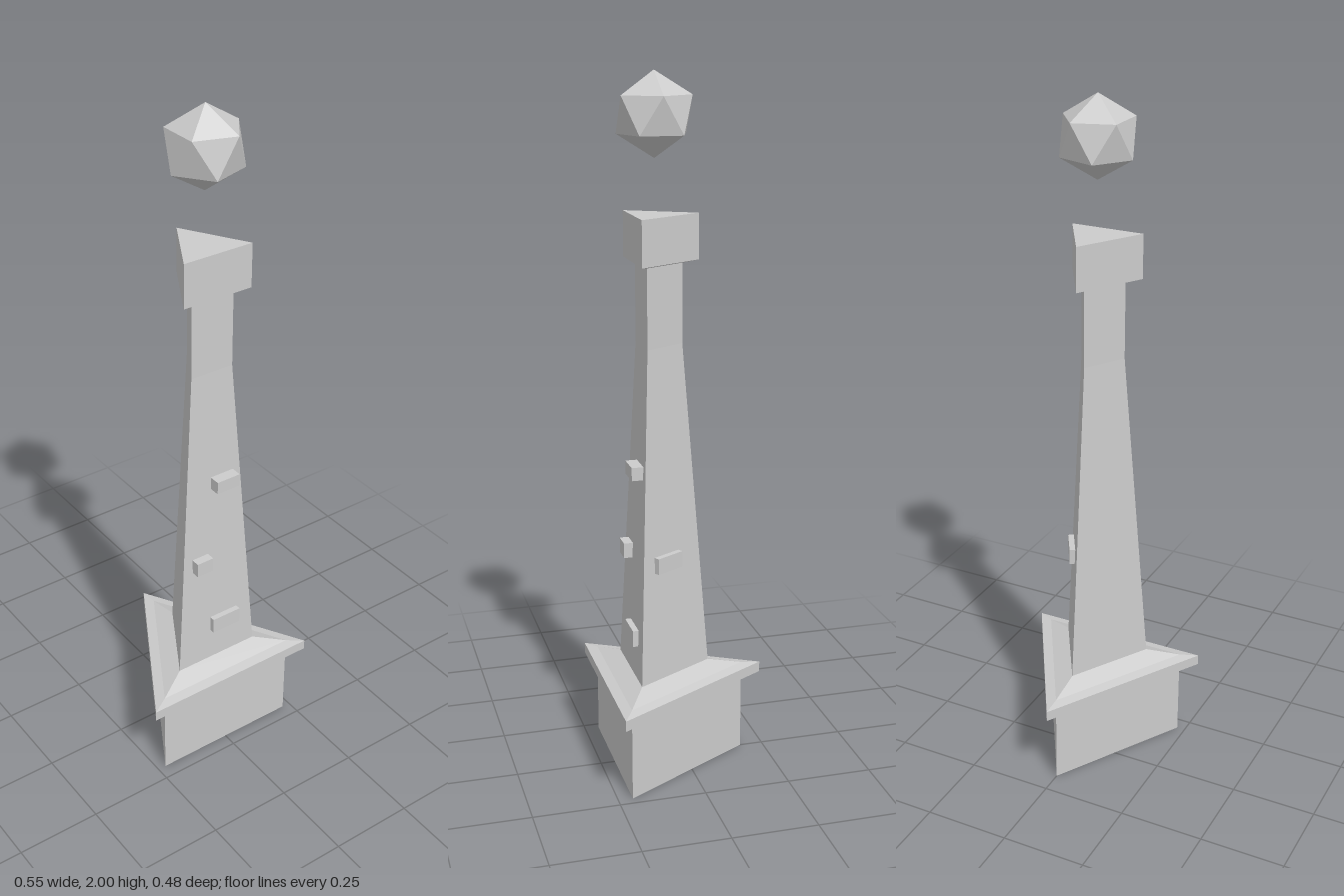
import * as THREE from 'three';

const material = new THREE.MeshStandardMaterial({ color: 0xcccccc, flatShading: true });

function addMesh(parent, geometry, name) {
  const flat = geometry.index ? geometry.toNonIndexed() : geometry;
  flat.computeVertexNormals();
  const mesh = new THREE.Mesh(flat, material);
  mesh.name = name;
  parent.add(mesh);
  return mesh;
}

// Three-sided solid from [corner radius, height] pairs, one corner pointing back
function triangular(profile) {
  const points = profile.map(([r, y]) => new THREE.Vector2(r, y));
  return new THREE.LatheGeometry(points, 3, Math.PI);
}

export function createModel() {
  const group = new THREE.Group();
  const tower = new THREE.Group();
  tower.name = 'tower';
  tower.position.z = 0.078; // axis of the triangle
  group.add(tower);

  // Plinth and overhanging ledge that slopes up to the shaft
  addMesh(tower, triangular([[0, 0], [0.26, 0], [0.26, 0.237], [0, 0.237]]), 'plinth');
  addMesh(tower, triangular([
    [0, 0.237], [0.318, 0.237], [0.318, 0.268], [0.26, 0.274], [0.156, 0.297], [0, 0.297],
  ]), 'ledge');

  // Tapering shaft with a straight neck
  addMesh(tower, triangular([[0, 0.29], [0.156, 0.297], [0.078, 1.26], [0.078, 1.5], [0, 1.5]]), 'shaft');

  // Cap block
  addMesh(tower, triangular([[0, 1.485], [0.078, 1.485], [0.125, 1.492], [0.125, 1.62], [0, 1.62]]), 'cap');

  // Protruding bricks: [face turn, offset along face, centre y, width, height, outer distance]
  const bricks = [
    [0, 0.027, 0.42, 0.095, 0.048, 0.089],
    [0, -0.052, 0.653, 0.054, 0.044, 0.089],
    [0, 0.028, 0.91, 0.076, 0.038, 0.086],
    [Math.PI * 2 / 3, -0.021, 0.643, 0.095, 0.047, 0.08],
  ];
  const depth = 0.04;
  bricks.forEach(([turn, x, y, w, h, out], i) => {
    const face = new THREE.Group();
    face.name = `brickFace${i + 1}`;
    face.rotation.y = turn;
    tower.add(face);
    addMesh(face, new THREE.BoxGeometry(w, h, depth), `brick${i + 1}`)
      .position.set(x, y, out - depth / 2);
  });

  // Floating orb, turned so one vertex points straight up
  const golden = (1 + Math.sqrt(5)) / 2;
  const orb = new THREE.IcosahedronGeometry(0.115, 0).rotateZ(-Math.atan(1 / golden));
  addMesh(tower, orb, 'floatingOrb').position.y = 1.885;

  return group;
}
